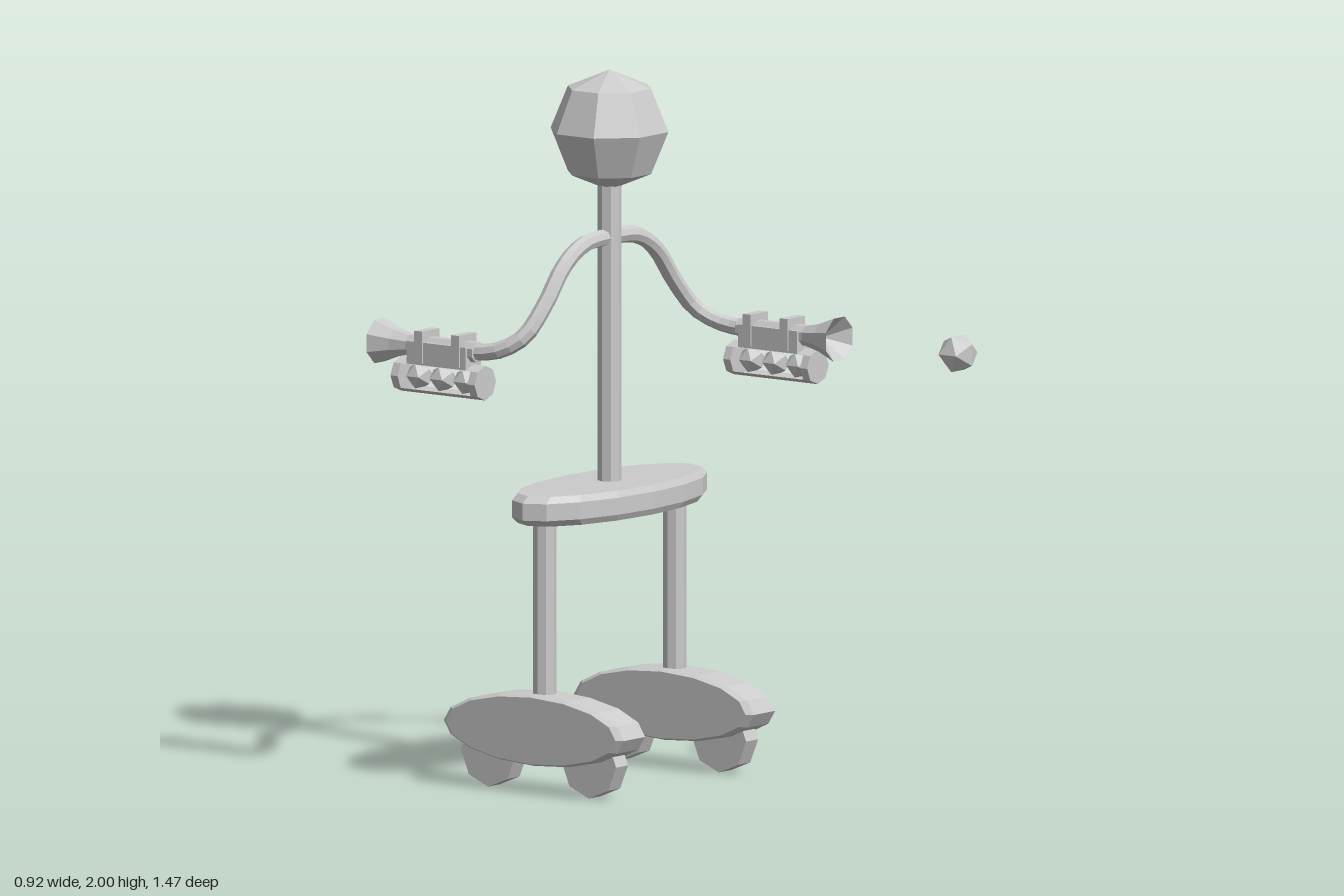
import * as THREE from 'three';

const material = new THREE.MeshStandardMaterial({ color: 0xcccccc, flatShading: true });
const openMaterial = new THREE.MeshStandardMaterial({ color: 0xcccccc, flatShading: true, side: THREE.DoubleSide });

function add(parent, name, geometry, x = 0, y = 0, z = 0, mat = material) {
  const mesh = new THREE.Mesh(geometry, mat);
  mesh.name = name;
  mesh.position.set(x, y, z);
  parent.add(mesh);
  return mesh;
}

const lathe = (points, sides) =>
  new THREE.LatheGeometry(points.map(([r, y]) => new THREE.Vector2(r, y)), sides);

// Elliptical slab with chamfered rims, lying flat
function ovalSlab(a, b, half, chamfer) {
  return lathe([
    [0, -half], [0.94, -half], [1, chamfer - half],
    [1, half - chamfer], [0.94, half], [0, half],
  ], 16).scale(a, 1, b);
}

// Arm with its launcher, reaching forward on the left side
function createArm() {
  const arm = new THREE.Group();
  const X = 0.4, Y = 1.237;

  const path = new THREE.CatmullRomCurve3([
    [0, 1.53, 0], [0.12, 1.52, 0], [0.21, 1.47, 0], [0.29, 1.37, 0.005],
    [0.355, 1.285, 0.03], [0.39, 1.247, 0.09], [X, Y, 0.16], [X, Y, 0.2],
  ].map((p) => new THREE.Vector3(...p)));
  add(arm, 'arm', new THREE.TubeGeometry(path, 18, 0.024, 8));

  // Barrel flaring into a hollow muzzle
  const barrel = lathe([
    [0, 0.15], [0.03, 0.155], [0.03, 0.39], [0.042, 0.44], [0.066, 0.5], [0, 0.44],
  ], 8).rotateY(Math.PI / 8).rotateX(Math.PI / 2);
  add(arm, 'barrel', barrel, X, Y, 0);

  // Mount joining barrel and magazine
  add(arm, 'mount', new THREE.BoxGeometry(0.07, 0.064, 0.207), X, 1.22, 0.275);
  for (const z of [0.205, 0.335]) {
    add(arm, 'mountBand', new THREE.BoxGeometry(0.08, 0.09, 0.028), X, 1.239, z);
  }

  // Magazine: end caps, upper and lower shells, balls showing at the sides
  const magY = 1.152, magZ = 0.277, length = 0.296;
  for (const side of [-1, 1]) {
    const cap = new THREE.CylinderGeometry(0.049, 0.049, 0.025, 8).rotateX(Math.PI / 2);
    add(arm, 'magazineCap', cap, X, magY, magZ + side * (length / 2 - 0.0125));
    const shell = new THREE.CylinderGeometry(
      0.049, 0.049, length - 0.02, 2, 1, true, -Math.PI / 4, Math.PI / 2,
    ).rotateX(Math.PI / 2);
    if (side > 0) shell.rotateZ(Math.PI);
    add(arm, 'magazineShell', shell, X, magY, magZ, openMaterial);
  }
  for (let i = -1; i <= 1; i++) {
    add(arm, 'loadedBall', new THREE.IcosahedronGeometry(0.04), X, magY, magZ + i * 0.083);
  }
  return arm;
}

// Upright oval foot on two small wheels
function createLeg() {
  const leg = new THREE.Group();
  add(leg, 'legPole', new THREE.CylinderGeometry(0.033, 0.033, 0.54, 8), 0, 0.51, 0);
  add(leg, 'foot', ovalSlab(0.1, 0.317, 0.063, 0.015).rotateZ(Math.PI / 2), 0, 0.178, 0);
  for (const z of [-0.177, 0.177]) {
    const wheel = new THREE.CylinderGeometry(0.096, 0.096, 0.055, 8).rotateZ(Math.PI / 2);
    add(leg, 'wheel', wheel, 0, 0.096, z);
  }
  return leg;
}

export function createModel() {
  const model = new THREE.Group();
  const body = new THREE.Group();
  body.name = 'body';
  body.position.z = -0.235;
  model.add(body);

  add(body, 'head', new THREE.SphereGeometry(0.17, 8, 4).rotateY(Math.PI / 8), 0, 1.83, 0);
  add(body, 'spine', new THREE.CylinderGeometry(0.034, 0.034, 0.9, 8), 0, 1.25, 0);
  add(body, 'hips', ovalSlab(0.397, 0.158, 0.042, 0.018), 0, 0.8, 0);

  for (const side of [-1, 1]) {
    const leg = createLeg();
    leg.name = side > 0 ? 'leftLeg' : 'rightLeg';
    leg.position.x = side * 0.297;
    body.add(leg);

    // The right arm is the left one turned half round, aiming backward
    const arm = createArm();
    arm.name = side > 0 ? 'leftArm' : 'rightArm';
    arm.rotation.y = side > 0 ? 0 : Math.PI;
    body.add(arm);
  }

  // Ball in flight ahead of the left launcher
  add(model, 'flyingBall', new THREE.IcosahedronGeometry(0.058), 0.4, 1.237, 0.683);
  return model;
}
